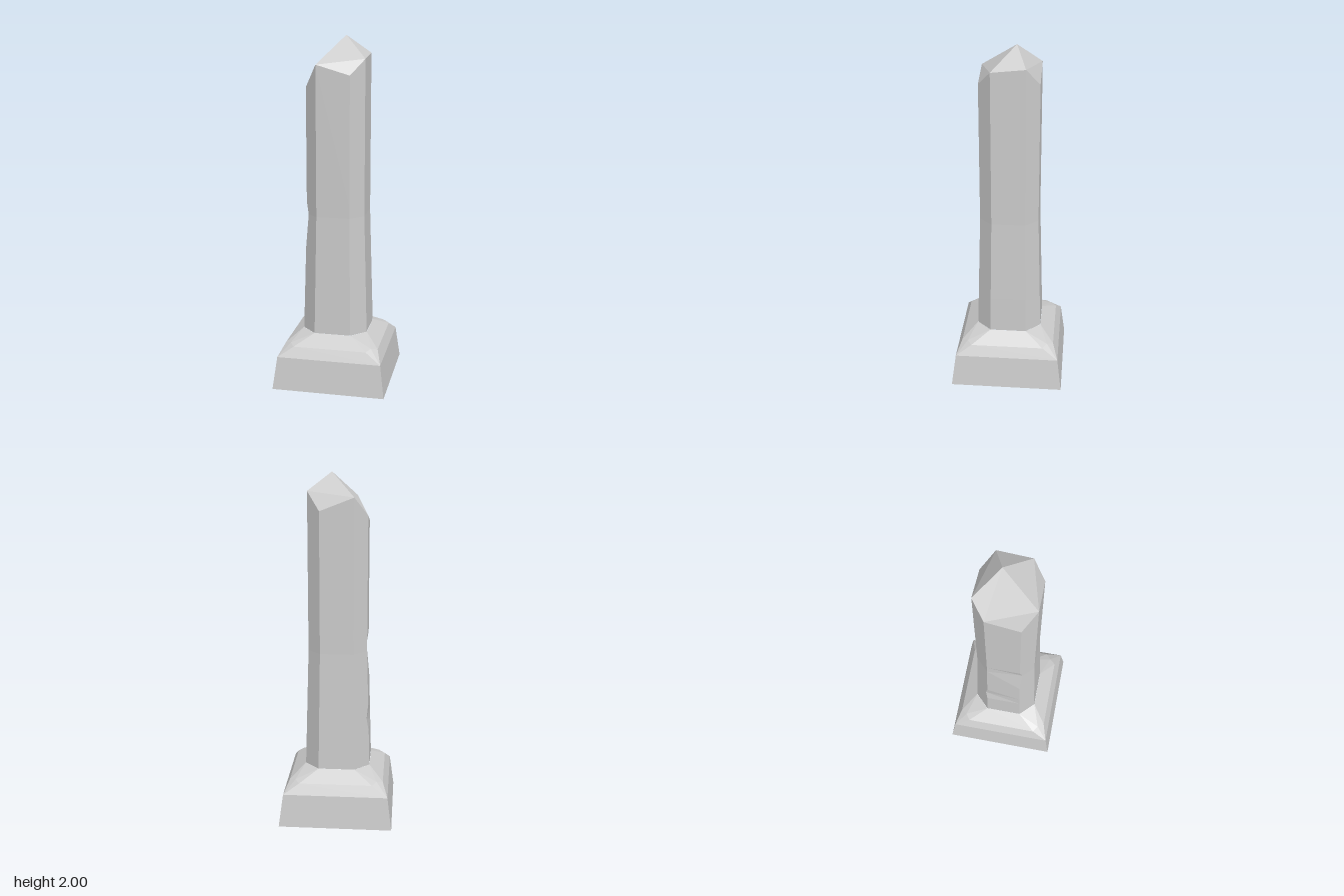
import * as THREE from 'three';

const stone = new THREE.MeshStandardMaterial({ color: 0xcccccc, flatShading: true });

// Mesh from flat convex polygons, each split as a fan
function facetedMesh(name, polygons) {
  const positions = [];
  for (const p of polygons) {
    for (let i = 1; i < p.length - 1; i++) positions.push(...p[0], ...p[i], ...p[i + 1]);
  }
  const geometry = new THREE.BufferGeometry();
  geometry.setAttribute('position', new THREE.Float32BufferAttribute(positions, 3));
  geometry.computeVertexNormals();
  const mesh = new THREE.Mesh(geometry, stone);
  mesh.name = name;
  return mesh;
}

// Chamfered square: a = distance of the flat sides, b = half their width
function octagon(a, b, y) {
  return [[a, b], [b, a], [-b, a], [-a, b], [-a, -b], [-b, -a], [b, -a], [a, -b]]
    .map(([x, z]) => [x, y, z]);
}

// Square plinth with worn, bevelled corners: one side, turned four times
function createPlinth() {
  const mirror = ([x, y, z]) => [-x, y, z];
  const foot = [0.325, 0, 0.325], corner = [0.30, 0.19, 0.30];
  const edge = [0.21, 0.25, 0.27], shoulder = [0.235, 0.26, 0.235];
  const neck = [0.105, 0.31, 0.188], neckSide = [0.188, 0.31, 0.105];
  const side = [
    [foot, corner, mirror(corner), mirror(foot)],
    [corner, edge, mirror(edge), mirror(corner)],
    [corner, shoulder, edge],
    [mirror(edge), mirror(shoulder), mirror(corner)],
    [edge, shoulder, neck],
    [edge, neck, mirror(neck), mirror(edge)],
    [mirror(edge), mirror(neck), mirror(shoulder)],
    [shoulder, neckSide, neck],
    [foot, mirror(foot), [0, 0, 0]],
  ];
  const polygons = [];
  for (let k = 0; k < 4; k++) {
    const c = Math.round(Math.cos(k * Math.PI / 2)), s = Math.round(Math.sin(k * Math.PI / 2));
    for (const p of side) polygons.push(p.map(([x, y, z]) => [c * x - s * z, y, s * x + c * z]));
  }
  return facetedMesh('plinth', polygons);
}

// Tapering eight-sided shaft with chipped edges and a broken, uneven point
function createShaft() {
  const rings = [0.31, 0.52, 0.6, 0.68, 0.8, 1.0, 1.07].map((y) => {
    const t = Math.min((y - 0.31) / 0.69, 1);
    return octagon(0.187 - 0.02 * t, 0.105 - 0.01 * t, y);
  });

  // Chips: slide an edge point along its chamfer
  const chip = (ring, i, dx, dz) => { rings[ring][i][0] += dx; rings[ring][i][2] += dz; };
  chip(5, 3, 0.014, 0.014);
  chip(2, 4, 0.01, -0.01);

  const heights = [1.88, 1.795, 1.85, 1.72, 1.77, 1.875, 1.80, 1.90];
  const top = octagon(0.167, 0.095, 0).map(([x, , z], i) => [x, heights[i], z]);
  rings.push(top);

  const polygons = [];
  for (let r = 0; r < rings.length - 1; r++) {
    for (let i = 0; i < 8; i++) {
      const j = (i + 1) % 8;
      polygons.push([rings[r][i], rings[r + 1][i], rings[r + 1][j], rings[r][j]]);
    }
  }

  // Point: main facets from the apex, small facets over the low corners
  const apex = [0.035, 2, -0.037];
  for (const [i, j] of [[0, 7], [2, 0], [4, 2], [5, 4], [7, 5]]) polygons.push([apex, top[i], top[j]]);
  for (const i of [1, 3, 6]) polygons.push([top[i + 1], top[i], top[i - 1]]);
  return facetedMesh('shaft', polygons);
}

export function createModel() {
  const model = new THREE.Group();
  model.name = 'stonePillar';
  model.add(createPlinth(), createShaft());
  return model;
}
